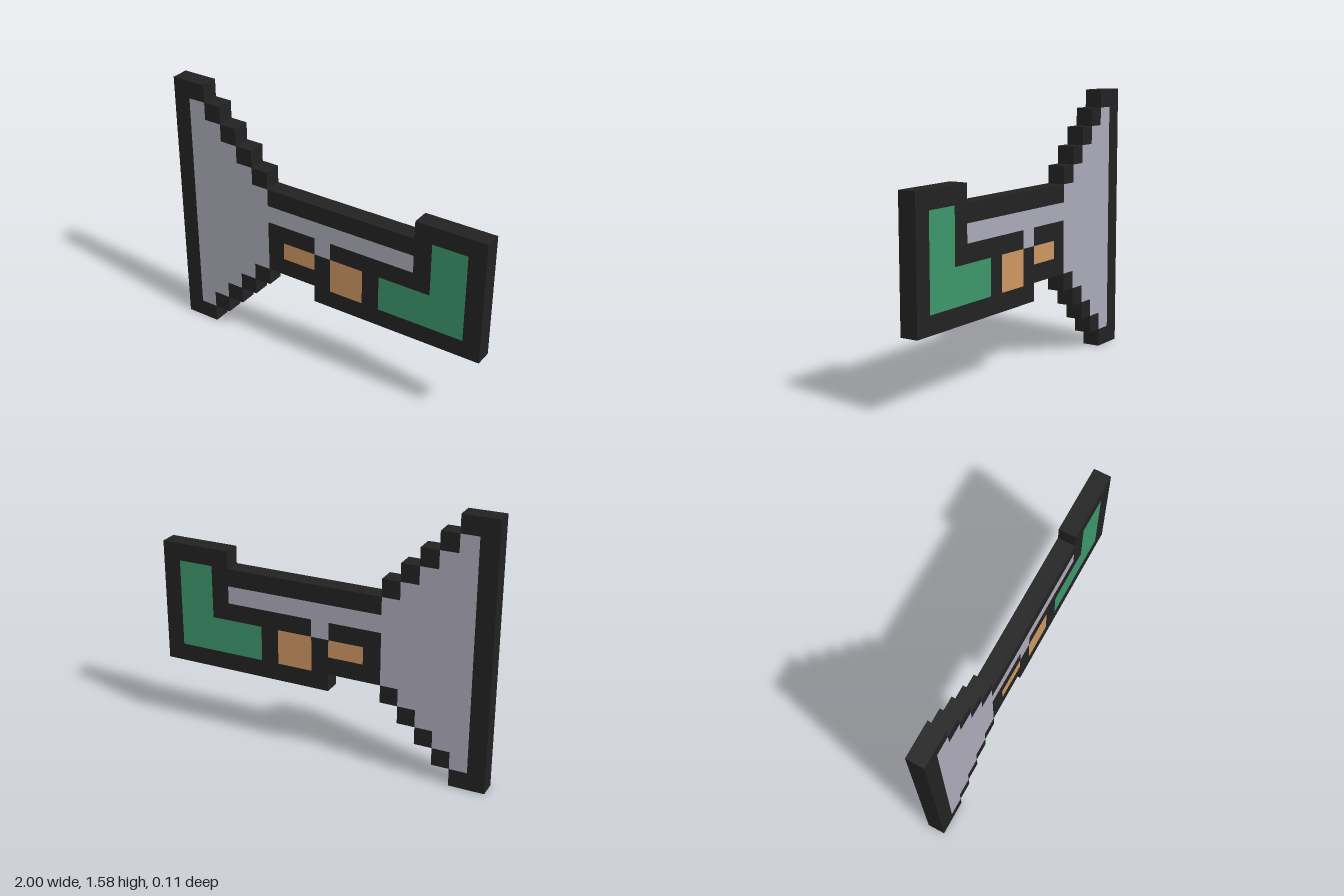
import * as THREE from 'three';

const U = 2 / 19;        // one square of the 19 x 15 grid
const DEPTH = U;

const material = (name, color) => {
  const m = new THREE.MeshStandardMaterial({ color });
  m.name = name;
  return m;
};

export function createModel() {
  const black = material('black', 0x222222);
  const grey = material('grey', 0xabaab8);
  const green = material('green', 0x3d966b);
  const orange = material('orange', 0xcc9661);

  const model = new THREE.Group();
  model.name = 'flaredHorn';

  // Block spanning grid columns x0..x1 and rows y0..y1
  const block = (parent, name, mat, x0, y0, x1, y1) => {
    const mesh = new THREE.Mesh(new THREE.BoxGeometry((x1 - x0) * U, (y1 - y0) * U, DEPTH), mat);
    mesh.position.set(((x0 + x1) / 2) * U - 1, ((y0 + y1) / 2) * U, 0);
    mesh.name = name;
    parent.add(mesh);
  };
  const part = (name) => {
    const g = new THREE.Group();
    g.name = name;
    model.add(g);
    return g;
  };

  // Flared bell: mouth rim, stepped edges and fill
  const bell = part('bell');
  block(bell, 'mouthRim', black, 0, 0, 1, 15);
  block(bell, 'rimTip', black, 1, 0, 2, 1);
  block(bell, 'rimTip', black, 1, 14, 2, 15);
  block(bell, 'bellFill', grey, 1, 1, 2, 14);
  for (let c = 2; c <= 5; c++) {
    block(bell, 'lowerStep', black, c, c - 1, c + 1, c);
    block(bell, 'upperStep', black, c, 15 - c, c + 1, 16 - c);
    block(bell, 'bellFill', grey, c, c, c + 1, 15 - c);
  }

  // Barrel
  const barrel = part('barrel');
  block(barrel, 'barrelTop', black, 6, 9, 15, 10);
  block(barrel, 'barrelFill', grey, 6, 8, 15, 9);
  block(barrel, 'barrelNotch', grey, 9, 7, 10, 8);

  // Fore grip with small inlay
  const foreGrip = part('foreGrip');
  block(foreGrip, 'gripTop', black, 6, 7, 9, 8);
  block(foreGrip, 'gripFront', black, 6, 6, 7, 7);
  block(foreGrip, 'gripBottom', black, 6, 5, 9, 6);
  block(foreGrip, 'smallInlay', orange, 7, 6, 9, 7);

  // Stock frame with large inlay and L-shaped panel
  const stock = part('stock');
  block(stock, 'frameBottom', black, 9, 4, 19, 5);
  block(stock, 'frameFront', black, 9, 5, 10, 7);
  block(stock, 'frameDivider', black, 12, 5, 13, 7);
  block(stock, 'frameMiddle', black, 10, 7, 16, 8);
  block(stock, 'frameNeck', black, 15, 8, 16, 10);
  block(stock, 'frameTop', black, 15, 10, 19, 11);
  block(stock, 'frameBack', black, 18, 5, 19, 10);
  block(stock, 'largeInlay', orange, 10, 5, 12, 7);
  block(stock, 'panelFoot', green, 13, 5, 18, 7);
  block(stock, 'panelUpright', green, 16, 7, 18, 10);

  return model;
}
